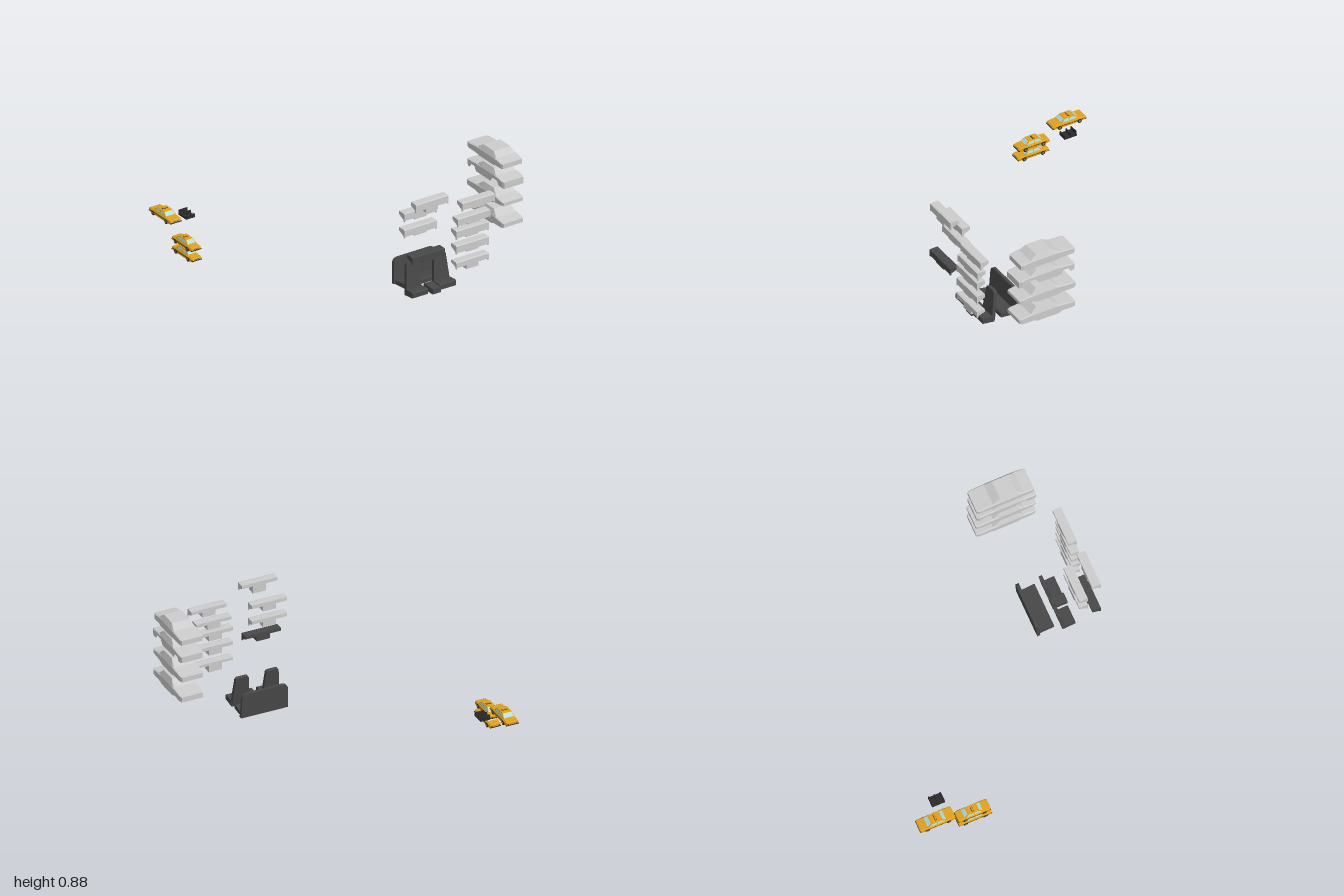
import * as THREE from 'three';

const mat = (color) => new THREE.MeshStandardMaterial({ color, flatShading: true, side: THREE.DoubleSide });
const GREY = mat(0xcccccc), DARK = mat(0x484848), BLACK = mat(0x2a2a2a);
const YELLOW = mat(0xe0a01e), GLASS = mat(0xb4dedb), CHROME = mat(0x85858a);

function add(parent, name, geo, material, x = 0, y = 0, z = 0) {
  const m = new THREE.Mesh(geo, material);
  m.name = name;
  m.position.set(x, y, z);
  parent.add(m);
  return m;
}
const box = (p, name, m, w, h, d, x, y, z) => add(p, name, new THREE.BoxGeometry(w, h, d), m, x, y, z);

// Skin over cross-sections { z, pts: [[x, y], ...] } running from front to back
function loft(sections, closed) {
  const v = [];
  const put = (s, j) => v.push(s.pts[j % s.pts.length][0], s.pts[j % s.pts.length][1], s.z);
  const n = sections[0].pts.length;
  for (let i = 0; i < sections.length - 1; i++) {
    const a = sections[i], b = sections[i + 1];
    for (let j = 0; j < (closed ? n : n - 1); j++) {
      put(a, j); put(a, j + 1); put(b, j + 1);
      put(a, j); put(b, j + 1); put(b, j);
    }
  }
  const first = sections[0], last = sections[sections.length - 1];
  for (let j = 1; j < n - 1; j++) {
    put(first, 0); put(first, j + 1); put(first, j);
    put(last, 0); put(last, j); put(last, j + 1);
  }
  const g = new THREE.BufferGeometry();
  g.setAttribute('position', new THREE.Float32BufferAttribute(v, 3));
  g.computeVertexNormals();
  return g;
}

// Symmetric section: sill, shoulder, top
const section = (z, yb, ym, yt, w, tw) => ({ z, pts: [[-w, yb], [-w, ym], [-tw, yt], [tw, yt], [w, ym], [w, yb]] });

// Profile in (z, y) extruded across x, centred
function across(points, width, bevel = 0) {
  const s = new THREE.Shape(points.map(([z, y]) => new THREE.Vector2(-z, y)));
  const g = new THREE.ExtrudeGeometry(s, { depth: width, bevelEnabled: bevel > 0, bevelSize: bevel, bevelThickness: bevel, bevelSegments: 1 });
  g.translate(0, 0, -width / 2);
  return g.rotateY(Math.PI / 2);
}

function quad(a, b, c, d) {
  const g = new THREE.BufferGeometry();
  g.setAttribute('position', new THREE.Float32BufferAttribute([a, b, c, a, c, d].flat(), 3));
  g.computeVertexNormals();
  return g;
}

// Hollow car shell, open underneath; sill rows are [z, sillHeight]
function carShell(root, name, y, front, back, belt, roof, sill) {
  const top = (z) => {
    if (z > 0.672) return [belt - 0.014 * (z - 0.672) / (front - 0.672), 0.078];
    if (z > 0.625) return [belt + (roof - belt) * (0.672 - z) / 0.047, 0.078 - 0.01 * (0.672 - z) / 0.047];
    if (z >= 0.5) return [roof, 0.068];
    if (z > 0.445) return [belt + (roof - belt) * (z - 0.445) / 0.055, 0.078 - 0.01 * (z - 0.445) / 0.055];
    return [belt - 0.012 * (0.445 - z) / (0.445 - back), 0.078];
  };
  const sillAt = (z) => {
    for (let i = 0; i < sill.length - 1; i++) {
      const [a, ya] = sill[i], [b, yb] = sill[i + 1];
      if (z <= a && z >= b) return ya + (yb - ya) * (a - z) / (a - b);
    }
    return sill[sill.length - 1][1];
  };
  const zs = [...new Set([...sill.map((s) => s[0]), front - 0.02, 0.672, 0.625, 0.5, 0.445, back + 0.02])].sort((a, b) => b - a);
  const rows = zs.map((z) => {
    const [yt, tw] = top(z);
    const end = z === front || z === back ? 0.008 : 0;
    const shoulder = Math.min(yt - 0.003, belt - 0.006);
    return section(z, sillAt(z), shoulder, yt, 0.087 - end, tw - end);
  });
  add(root, name, loft(rows, false), GREY, 0.91, y, 0);
}

// Dashboard: undercut body with a centre console stub
function dashboard(root, name, x, y, z, h, m = GREY, tab = 0) {
  const g = new THREE.Group();
  g.name = name;
  g.position.set(x, y, z);
  add(g, 'dashBody', across([[0.032, 0.012], [0.032, h - 0.004], [0.022, h], [-0.032, h], [-0.032, h * 0.62]], 0.27), m);
  add(g, 'dashConsole', across([[0.03, -tab], [0.03, 0.025], [-0.032, h * 0.7], [-0.032, -tab]], 0.1), m);
  for (const s of [-1, 1]) box(g, 'dashEnd', m, 0.008, h * 0.6, 0.012, s * 0.131, h * 0.35, 0.026);
  root.add(g);
}

// Upright panel with rounded or tapered top, leaning back
function seatBack(g, w, topW, h, r, thick, x, y, z, lean) {
  const s = new THREE.Shape();
  s.moveTo(-w / 2, 0);
  s.lineTo(-topW / 2, h - r);
  s.quadraticCurveTo(-topW / 2, h, -topW / 2 + r, h);
  s.lineTo(topW / 2 - r, h);
  s.quadraticCurveTo(topW / 2, h, topW / 2, h - r);
  s.lineTo(w / 2, 0);
  const geo = new THREE.ExtrudeGeometry(s, { depth: thick, bevelEnabled: false, curveSegments: 5 });
  add(g, 'seatBack', geo, DARK, x, y, z).rotation.x = -lean;
}

// Small saloon car, front towards +z
function smallCar(root, name, x, y, z, L, W) {
  const g = new THREE.Group();
  g.name = name;
  g.position.set(x, y, z);
  root.add(g);
  const w = W / 2, h = L / 2, yb = 0.043, yr = 0.07;
  const body = [[h, 0.018, 0.034], [h - 0.01, 0.014, 0.039], [0.065, 0.012, yb], [-0.07, 0.012, yb], [-h + 0.01, 0.015, 0.04], [-h, 0.019, 0.036]];
  add(g, 'body', loft(body.map(([zz, lo, hi], i) => section(zz, lo, hi - 0.007, hi, i % 5 ? w : w - 0.004, w - 0.006)), true), YELLOW);

  // Cabin with glass laid over each face
  const wb = w - 0.005, wr = w - 0.013;
  const cz = [0.066, 0.034, -0.042, -0.078];
  const cabin = cz.map((zz, i) => (i % 3 ? section(zz, yb, yb, yr, wb, wr) : section(zz, yb, yb, yb, wb, wb)));
  add(g, 'cabin', loft(cabin, true), YELLOW);
  const at = (s, zz, t) => [s * (wb + (wr - wb) * t + 0.0008), yb + (yr - yb) * t, zz];
  for (const s of [-1, 1]) {
    add(g, 'frontSideWindow', quad(at(s, 0.055, 0.12), at(s, 0.0, 0.12), at(s, 0.0, 0.86), at(s, 0.033, 0.86)), GLASS);
    add(g, 'rearSideWindow', quad(at(s, -0.006, 0.12), at(s, -0.062, 0.12), at(s, -0.042, 0.86), at(s, -0.006, 0.86)), GLASS);
    box(g, 'sideTrim', BLACK, 0.001, 0.003, L * 0.8, s * (w + 0.0003), 0.026, 0);
    for (const zz of [0.3 * L, -0.3 * L]) {
      const wheel = add(g, 'wheel', new THREE.CylinderGeometry(0.016, 0.016, 0.012, 14), BLACK, s * (w - 0.004), 0.016, zz);
      wheel.rotation.z = Math.PI / 2;
      const hub = add(g, 'hubcap', new THREE.CylinderGeometry(0.008, 0.008, 0.0135, 10), CHROME, s * (w - 0.004), 0.016, zz);
      hub.rotation.z = Math.PI / 2;
    }
    box(g, 'headlight', GLASS, 0.01, 0.007, 0.003, s * (w - 0.014), 0.027, h);
    box(g, 'tailLight', mat(0x8a2a1c), 0.01, 0.006, 0.003, s * (w - 0.014), 0.028, -h);
  }
  const screen = (n, z0, z1, e) => {
    const p = (s, t) => [s * (wb + (wr - wb) * t - 0.005), yb + (yr - yb) * t + 0.0008, z0 + (z1 - z0) * t + e];
    add(g, n, quad(p(-1, 0.1), p(1, 0.1), p(1, 0.88), p(-1, 0.88)), GLASS);
  };
  screen('windscreen', cz[0], cz[1], 0.001);
  screen('rearWindow', cz[3], cz[2], -0.001);

  // Bumpers, grille and roof sign
  for (const s of [-1, 1]) box(g, 'bumper', BLACK, W * 0.98, 0.006, 0.006, 0, 0.018, s * (h - 0.001));
  box(g, 'grille', CHROME, W * 0.42, 0.008, 0.003, 0, 0.027, h);
  box(g, 'signBase', BLACK, W * 0.45, 0.003, 0.014, 0, yr + 0.001, -0.006);
  box(g, 'roofSign', YELLOW, W * 0.38, 0.009, 0.009, 0, yr + 0.006, -0.006);
}

export function createModel() {
  const root = new THREE.Group();
  root.name = 'carPartsSet';

  // Stack of four car shells
  carShell(root, 'topShell', 0.79, 0.75, 0.322, 0.06, 0.094, [[0.75, 0.01], [0.66, 0.01], [0.645, 0.002], [0.47, 0.002], [0.455, 0.008], [0.322, 0.01]]);
  carShell(root, 'archedShell', 0.655, 0.768, 0.322, 0.064, 0.1,
    [[0.768, 0], [0.705, 0.006], [0.685, 0.035], [0.635, 0.035], [0.61, 0], [0.435, 0], [0.415, 0.032], [0.38, 0.032], [0.36, 0.004], [0.322, 0.006]]);
  carShell(root, 'thirdShell', 0.497, 0.765, 0.315, 0.062, 0.104, [[0.765, 0.024], [0.65, 0.013], [0.62, 0], [0.46, 0], [0.435, 0.01], [0.315, 0.013]]);
  carShell(root, 'bottomShell', 0.336, 0.765, 0.318, 0.064, 0.106, [[0.765, 0.02], [0.745, 0.013], [0.645, 0.01], [0.62, 0], [0.45, 0], [0.43, 0.013], [0.318, 0.013]]);

  // Two columns of dashboards
  dashboard(root, 'dashboardA', 0.147, 0.752, 0.86, 0.066, GREY, 0.016);
  dashboard(root, 'dashboardB', 0.124, 0.645, 0.752, 0.066);
  dashboard(root, 'dashboardC', 0.124, 0.52, 0.752, 0.066);
  dashboard(root, 'darkDashboard', 0.124, 0.353, 0.85, 0.06, DARK);
  dashboard(root, 'dashboardD', 0.537, 0.65, 0.852, 0.065);
  dashboard(root, 'dashboardE', 0.499, 0.54, 0.852, 0.064);
  dashboard(root, 'dashboardF', 0.488, 0.447, 0.852, 0.068);
  dashboard(root, 'dashboardG', 0.488, 0.333, 0.852, 0.067);
  dashboard(root, 'dashboardH', 0.488, 0.22, 0.852, 0.053, GREY, 0.02);

  // Rear bench
  const bench = new THREE.Group();
  bench.name = 'rearBench';
  root.add(bench);
  add(bench, 'benchCushion', across([[0.59, 0.015], [0.59, 0.045], [0.58, 0.05], [0.465, 0.032], [0.465, 0.003]], 0.33), DARK, 0.29);
  seatBack(bench, 0.36, 0.35, 0.19, 0.045, 0.023, 0.29, 0.008, 0.458, 0.06);

  // Front seats and centre console
  for (const [x, w] of [[0.155, 0.13], [0.385, 0.135]]) {
    const seat = new THREE.Group();
    seat.name = 'frontSeat';
    root.add(seat);
    add(seat, 'seatCushion', across([[0.735, 0.012], [0.735, 0.046], [0.725, 0.053], [0.64, 0.045], [0.64, 0]], w), DARK, x);
    seatBack(seat, w, w - 0.035, 0.222, 0.02, 0.026, x, 0.012, 0.637, 0.13);
  }
  box(root, 'centreConsole', DARK, 0.07, 0.04, 0.11, 0.285, 0.022, 0.692);

  // Three small cars
  smallCar(root, 'upperCar', -0.937, 0.3, -0.766, 0.262, 0.096);
  smallCar(root, 'middleCar', -0.948, 0.2, -0.494, 0.24, 0.084);
  smallCar(root, 'lowerCar', -0.948, 0.125, -0.488, 0.245, 0.084);

  // Miniature interior beside the upper car
  const cabin = new THREE.Group();
  cabin.name = 'miniInterior';
  cabin.position.set(-0.803, 0.303, -0.7);
  root.add(cabin);
  box(cabin, 'floor', BLACK, 0.074, 0.012, 0.096, 0, 0.006, 0);
  box(cabin, 'rearSeatBack', BLACK, 0.07, 0.026, 0.008, 0, 0.024, -0.044);
  for (const s of [-1, 1]) box(cabin, 'frontSeatBack', BLACK, 0.03, 0.024, 0.008, s * 0.018, 0.023, -0.002);
  box(cabin, 'dash', BLACK, 0.07, 0.014, 0.012, 0, 0.019, 0.042);
  const wheel = add(cabin, 'steeringWheel', new THREE.TorusGeometry(0.008, 0.0015, 5, 10), BLACK, 0.018, 0.025, 0.032);
  wheel.rotation.x = -0.4;
  return root;
}
